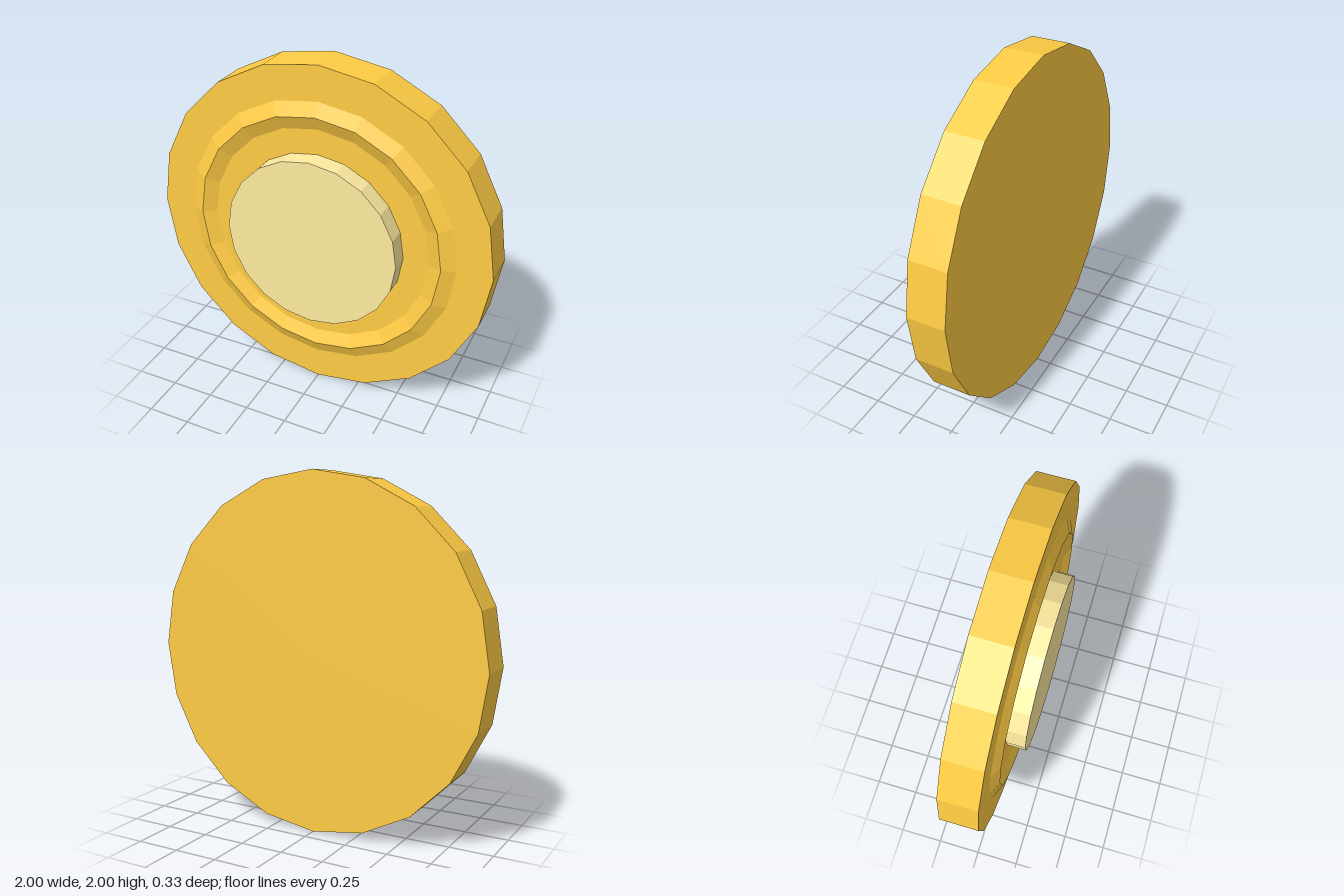
import * as THREE from 'three';

const SIDES = 20;
const FACE_Z = 0.054; // front face of the main disc

function material(color) {
  return new THREE.MeshStandardMaterial({ color, flatShading: true });
}

// Turn a y-axis shape to face +z and centre it at height 1
function part(name, geometry, mat, z) {
  geometry.rotateX(Math.PI / 2);
  const mesh = new THREE.Mesh(geometry, mat);
  mesh.name = name;
  mesh.position.set(0, 1, z);
  return mesh;
}

function disc(name, radius, back, front, mat) {
  const geometry = new THREE.CylinderGeometry(radius, radius, front - back, SIDES);
  return part(name, geometry, mat, (back + front) / 2);
}

export function createModel() {
  const group = new THREE.Group();
  group.name = 'medallion';
  const gold = material(0xffcc44);
  const pale = material(0xffeca0);

  // Main disc
  group.add(disc('baseDisc', 1, -0.163, FACE_Z, gold));

  // Raised ring with a peaked, diamond-shaped section, half sunk in the disc
  const section = [[0.805, 0], [0.728, 0.034], [0.65, 0], [0.728, -0.034], [0.805, 0]]
    .map(([r, h]) => new THREE.Vector2(r, h));
  group.add(part('raisedRing', new THREE.LatheGeometry(section, SIDES), gold, FACE_Z));

  // Pale centre button
  group.add(disc('centerButton', 0.506, FACE_Z - 0.03, 0.163, pale));

  return group;
}
